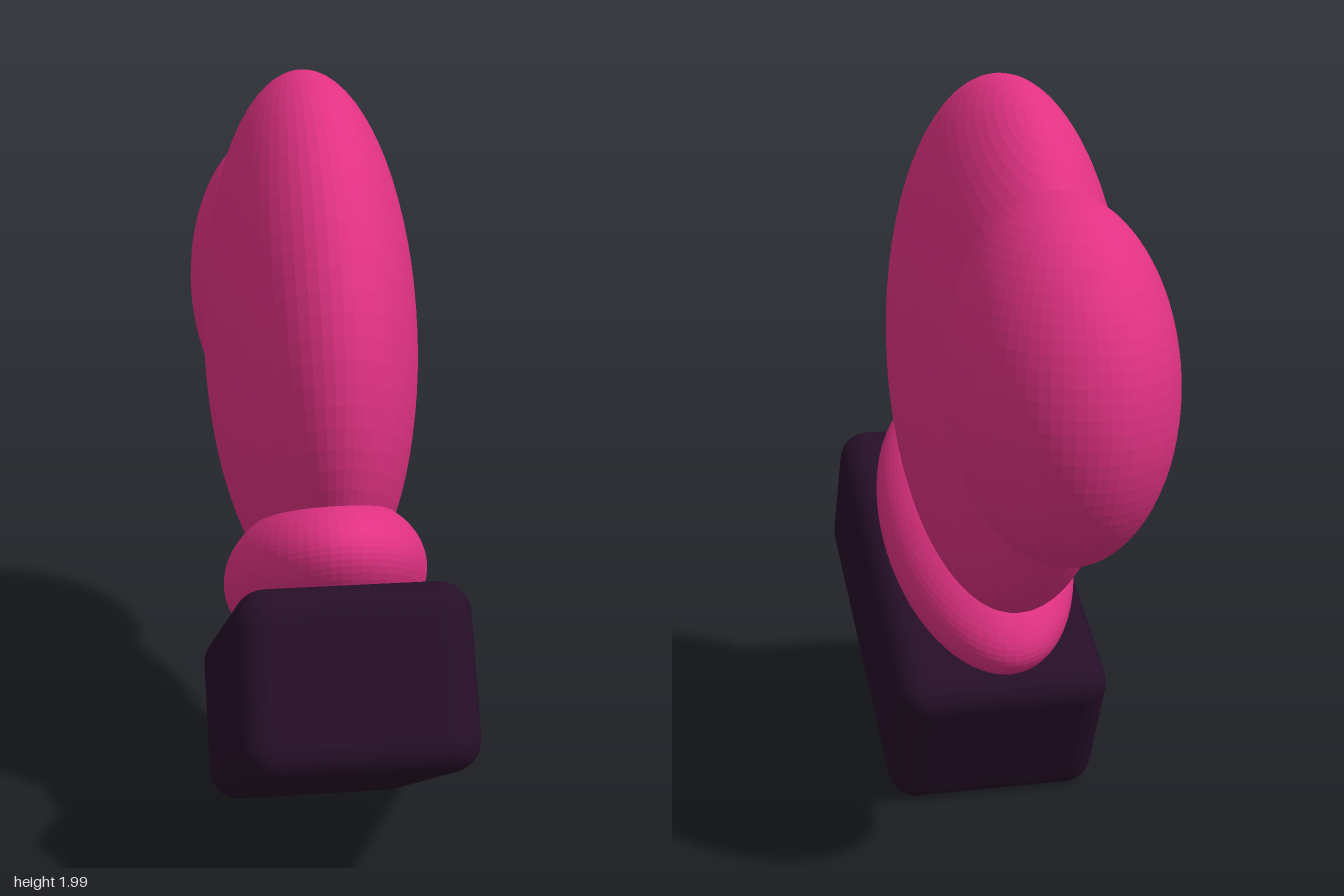
import * as THREE from 'three';
import { RoundedBoxGeometry } from 'three/addons/geometries/RoundedBoxGeometry.js';

export function createModel() {
  const model = new THREE.Group();
  model.name = 'boxingGlove';

  const pink = new THREE.MeshStandardMaterial({ color: 0xe23283, flatShading: true });
  pink.name = 'pink leather';
  const dark = new THREE.MeshStandardMaterial({ color: 0x260f28 });
  dark.name = 'dark purple cuff';

  // The glove is laid out in its own x-y plane, then turned diagonally
  const glove = new THREE.Group();
  glove.name = 'glove';
  glove.rotation.y = -Math.PI / 4;
  model.add(glove);

  const tilt = THREE.MathUtils.degToRad(28);

  function add(name, geometry, material, x, y, angle) {
    const mesh = new THREE.Mesh(geometry, material);
    mesh.name = name;
    mesh.position.set(x, y, 0);
    mesh.rotation.z = angle;
    glove.add(mesh);
  }

  const ellipsoid = (a, b, c) => new THREE.SphereGeometry(1, 64, 40).scale(a, b, c);

  // Padded fist, thumb and wrist
  add('fist', ellipsoid(0.68, 0.714, 0.274), pink, -0.092, 1.288, tilt);
  add('thumb', ellipsoid(0.42, 0.445, 0.265), pink, -0.67, 1.325, 0);
  add('wrist', ellipsoid(0.54, 0.197, 0.26), pink, 0.222, 0.713, tilt);

  // Rounded cuff block
  add('cuff', new RoundedBoxGeometry(1.1, 0.46, 0.58, 5, 0.08), dark, 0.37, 0.435, tilt);

  return model;
}
